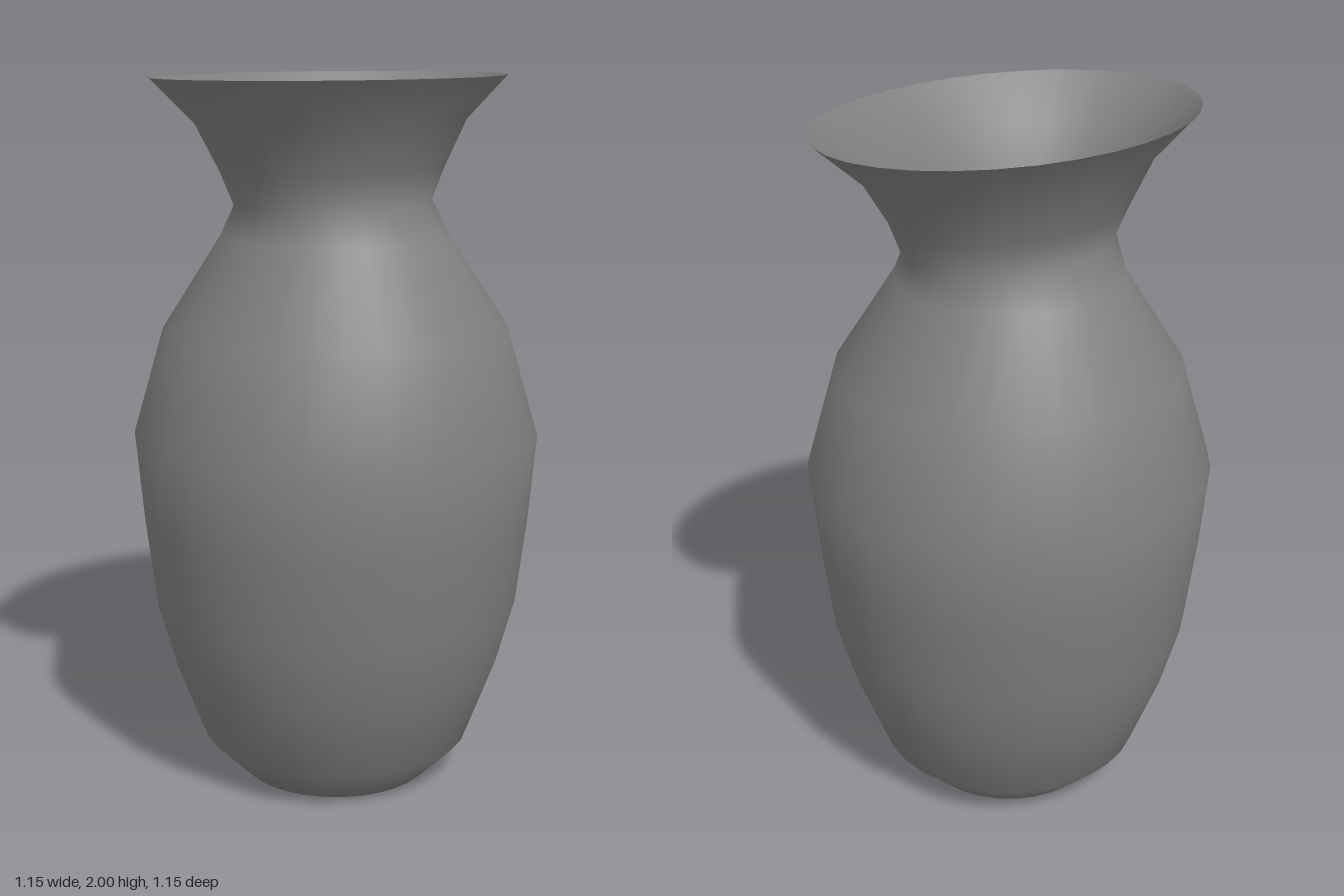
import * as THREE from 'three';

const SEGMENTS = 32;

// Cross-sections from foot to lip: height, half width, half depth, x offset
const RINGS = [
  [0, 0.28, 0.28, 0],
  [0.11, 0.388, 0.388, 0],
  [0.33, 0.47, 0.47, 0],
  [0.52, 0.522, 0.522, 0],
  [0.77, 0.552, 0.552, 0],
  [1.01, 0.573, 0.573, 0],
  [1.31, 0.485, 0.485, 0],
  [1.57, 0.316, 0.318, -0.003],
  [1.66, 0.317, 0.233, -0.005],
  [1.75, 0.352, 0.268, -0.007],
  [1.88, 0.432, 0.313, -0.007],
  [2, 0.567, 0.408, -0.006],
];

// Skin the elliptical rings into one smooth shell with a closed foot
function vaseGeometry() {
  const positions = [];
  const index = [];
  for (const [y, rx, rz, cx] of RINGS) {
    for (let i = 0; i < SEGMENTS; i++) {
      const a = (i / SEGMENTS) * Math.PI * 2;
      positions.push(cx + Math.sin(a) * rx, y, Math.cos(a) * rz);
    }
  }
  for (let r = 0; r < RINGS.length - 1; r++) {
    for (let i = 0; i < SEGMENTS; i++) {
      const j = (i + 1) % SEGMENTS;
      const a = r * SEGMENTS + i;
      const b = r * SEGMENTS + j;
      index.push(a, b, b + SEGMENTS, a, b + SEGMENTS, a + SEGMENTS);
    }
  }
  // Foot disc
  const centre = positions.length / 3;
  positions.push(0, 0, 0);
  for (let i = 0; i < SEGMENTS; i++) index.push(centre, (i + 1) % SEGMENTS, i);

  const geometry = new THREE.BufferGeometry();
  geometry.setAttribute('position', new THREE.Float32BufferAttribute(positions, 3));
  geometry.setIndex(index);
  geometry.computeVertexNormals();
  return geometry;
}

export function createModel() {
  const clay = new THREE.MeshStandardMaterial({ color: 0x808080, side: THREE.DoubleSide });
  clay.name = 'grey clay';

  const vase = new THREE.Mesh(vaseGeometry(), clay);
  vase.name = 'vaseBody';

  const group = new THREE.Group();
  group.name = 'vase';
  group.add(vase);
  return group;
}
